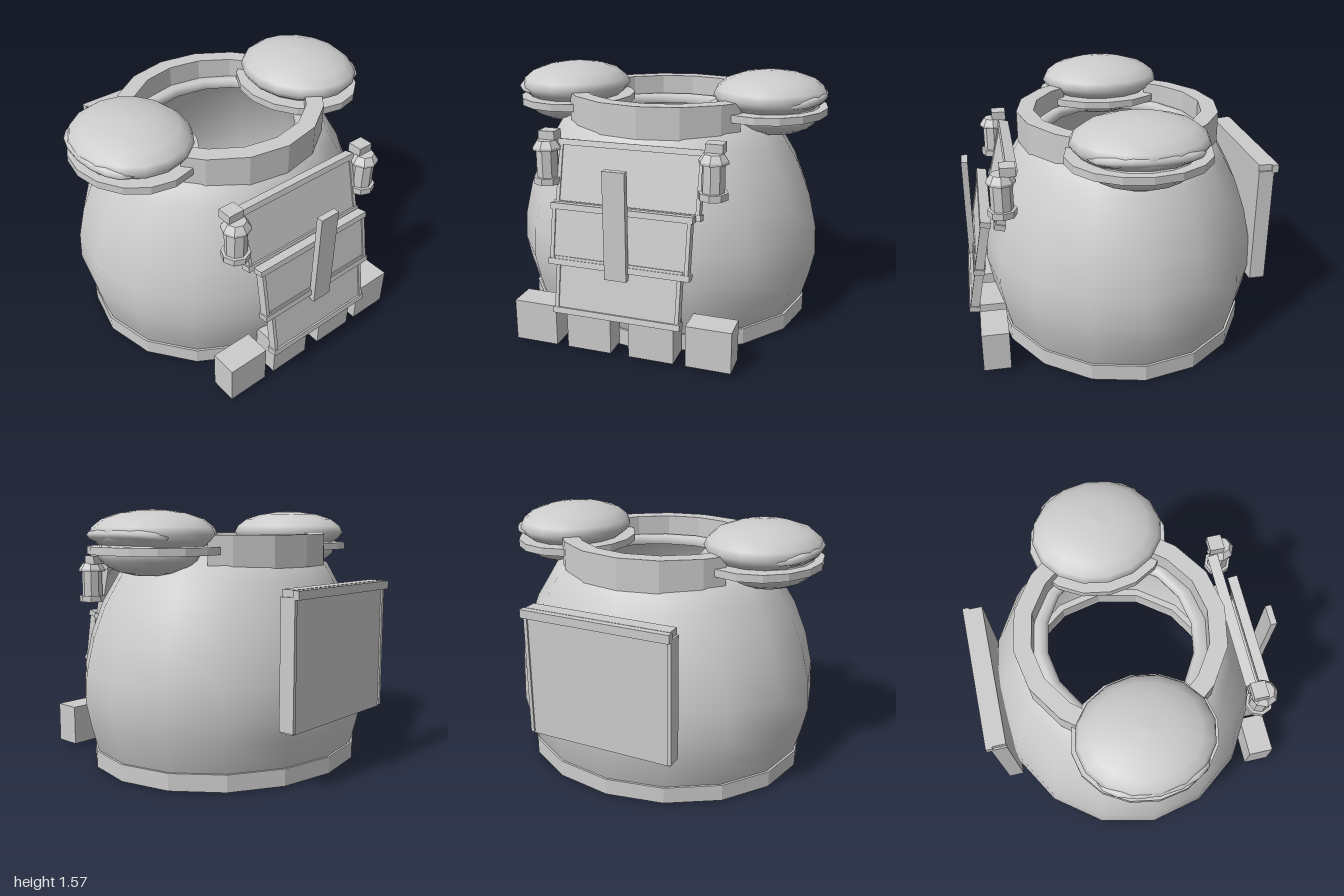
import * as THREE from 'three';

const grey = new THREE.MeshStandardMaterial({ color: 0xcccccc, side: THREE.DoubleSide });
const CZ = -0.05; // centre of the pot in z
const SQUASH = 0.885; // pot depth relative to its width

const v2 = (list) => list.map(([x, y]) => new THREE.Vector2(x, y));

function facet(geometry) {
  const g = geometry.index ? geometry.toNonIndexed() : geometry;
  g.computeVertexNormals();
  return g;
}

function add(parent, name, geometry, x = 0, y = 0, z = 0) {
  const mesh = new THREE.Mesh(geometry, grey);
  mesh.name = name;
  mesh.position.set(x, y, z);
  parent.add(mesh);
  return mesh;
}

const box = (parent, name, w, h, d, x, y, z) =>
  add(parent, name, new THREE.BoxGeometry(w, h, d), x, y, z);

// Faceted ring with a rectangular section
function ring(inner, outer, y0, y1) {
  return facet(new THREE.LatheGeometry(
    v2([[inner, y0], [outer, y0], [outer, y1], [inner, y1], [inner, y0]]), 16));
}

// Half of the collar, cut off where the eyes sit
function collarGeometry() {
  const angles = [32, 45, 67.5, 90, 112.5, 135, 148].map(THREE.MathUtils.degToRad);
  const at = (r, a) => [r * 1.02 * Math.cos(a), r * Math.sin(a)];
  const outline = [
    ...angles.map((a) => at(0.625, a)),
    ...angles.slice().reverse().map((a) => at(0.52, a)),
  ];
  const g = new THREE.ExtrudeGeometry(new THREE.Shape(v2(outline)),
    { depth: 0.19, bevelEnabled: false });
  return g.rotateX(Math.PI / 2); // shape y becomes +z, depth goes down
}

// Framed board, leaning so that its foot stands forward
function panel(parent, name, halfWidth, top, bottom) {
  const dy = top.y - bottom.y, dz = bottom.z - top.z;
  const length = Math.hypot(dy, dz);
  const group = new THREE.Group();
  group.name = name;
  group.position.set(0, (top.y + bottom.y) / 2, (top.z + bottom.z) / 2);
  group.rotation.x = -Math.atan2(dz, dy);
  const w = halfWidth * 2;
  box(group, 'panelBoard', w - 0.03, length - 0.02, 0.04, 0, 0, 0);
  for (const s of [-1, 1]) {
    box(group, 'panelRail', w, 0.035, 0.065, 0, s * (length / 2 - 0.018), 0);
    box(group, 'panelSide', 0.022, length - 0.04, 0.055, s * (halfWidth - 0.02), 0, 0);
  }
  parent.add(group);
}

// Eye on one side of the rim
function eye(parent, s) {
  const group = new THREE.Group();
  group.name = s > 0 ? 'leftEye' : 'rightEye';
  group.position.set(s * 0.635, 0, CZ);
  const disc = add(group, 'eyeRing',
    facet(new THREE.CylinderGeometry(1, 1, 0.045, 16)), 0, 1.333, 0);
  disc.scale.set(0.365, 1, 0.42);
  const bowl = add(group, 'eyeBowl', new THREE.SphereGeometry(1, 16, 10), s * 0.045, 1.32, 0);
  bowl.scale.set(0.28, 0.137, 0.32);
  const dome = add(group, 'eyeDome', new THREE.LatheGeometry(v2([
    [0.8, 1.35], [0.93, 1.385], [1, 1.425], [0.95, 1.465], [0.79, 1.512],
    [0.52, 1.545], [0.25, 1.56], [0, 1.566]]), 16), s * 0.012, 0, 0);
  dome.scale.set(0.348, 1, 0.395);
  const lid = add(group, 'eyeLid', new THREE.SphereGeometry(1, 16, 10), s * 0.2, 1.41, 0);
  lid.scale.set(0.16, 0.058, 0.32);
  lid.rotation.z = s * 0.12;
  parent.add(group);
}

// Small lantern beside the top panel
function lantern(parent, s) {
  const group = new THREE.Group();
  group.name = s > 0 ? 'leftLantern' : 'rightLantern';
  group.position.set(s * 0.495, 0, 0.71);
  const drum = (name, rTop, rBottom, y0, y1) => add(group, name,
    facet(new THREE.CylinderGeometry(rTop, rBottom, y1 - y0, 8)), 0, (y0 + y1) / 2, 0);
  drum('lanternBase', 0.085, 0.085, 0.97, 1.01);
  drum('lanternBody', 0.066, 0.066, 1.01, 1.18);
  drum('lanternBrim', 0.085, 0.085, 1.17, 1.185);
  drum('lanternCap', 0.058, 0.085, 1.185, 1.225);
  box(group, 'lanternBracket', 0.1, 0.055, 0.09, 0, 1.247, -0.04);
  parent.add(group);
}

export function createModel() {
  const model = new THREE.Group();
  model.name = 'potHouse';

  // Hollow pot, open at both ends
  const pot = add(model, 'pot', new THREE.LatheGeometry(v2([
    [0.845, 0], [0.9, 0.11], [0.945, 0.27], [0.977, 0.42], [0.967, 0.6],
    [0.92, 0.8], [0.84, 1.0], [0.76, 1.13], [0.7, 1.23], [0.62, 1.28],
    [0.55, 1.3], [0.51, 1.295], [0.49, 1.27], [0.5, 1.24]]), 16), 0, 0, CZ);
  pot.scale.z = SQUASH;
  const foot = add(model, 'footRing', ring(0.85, 0.915, 0.01, 0.112), 0, 0, CZ);
  foot.scale.z = SQUASH;

  // Collar halves at front and back
  const collar = collarGeometry();
  add(model, 'frontCollar', collar, 0, 1.42, CZ);
  add(model, 'backCollar', collar, 0, 1.42, CZ).rotation.y = Math.PI;

  for (const s of [-1, 1]) {
    eye(model, s);
    lantern(model, s);
    // Blocks along the foot of the front
    box(model, 'outerBlock', 0.265, 0.25, 0.165, s * 0.528, 0.145, 0.805);
    box(model, 'innerBlock', 0.27, 0.25, 0.165, s * 0.19, 0.145, 0.805);
  }

  // Overlapping front panels and the upright strip
  panel(model, 'topPanel', 0.44, { y: 1.22, z: 0.64 }, { y: 0.84, z: 0.735 });
  panel(model, 'middlePanel', 0.42, { y: 0.89, z: 0.81 }, { y: 0.54, z: 0.875 });
  panel(model, 'bottomPanel', 0.38, { y: 0.59, z: 0.86 }, { y: 0.26, z: 0.92 });
  box(model, 'uprightStrip', 0.13, 0.63, 0.04, 0, 0.82, 0.91);

  // Back board with its top rail
  box(model, 'backBoard', 0.9, 0.79, 0.085, 0, 0.745, -0.878);
  box(model, 'backTopRail', 0.925, 0.05, 0.04, 0, 1.113, -0.938);
  for (const s of [-1, 1]) {
    box(model, 'backSideRail', 0.022, 0.74, 0.095, s * 0.45, 0.73, -0.883);
  }
  return model;
}
